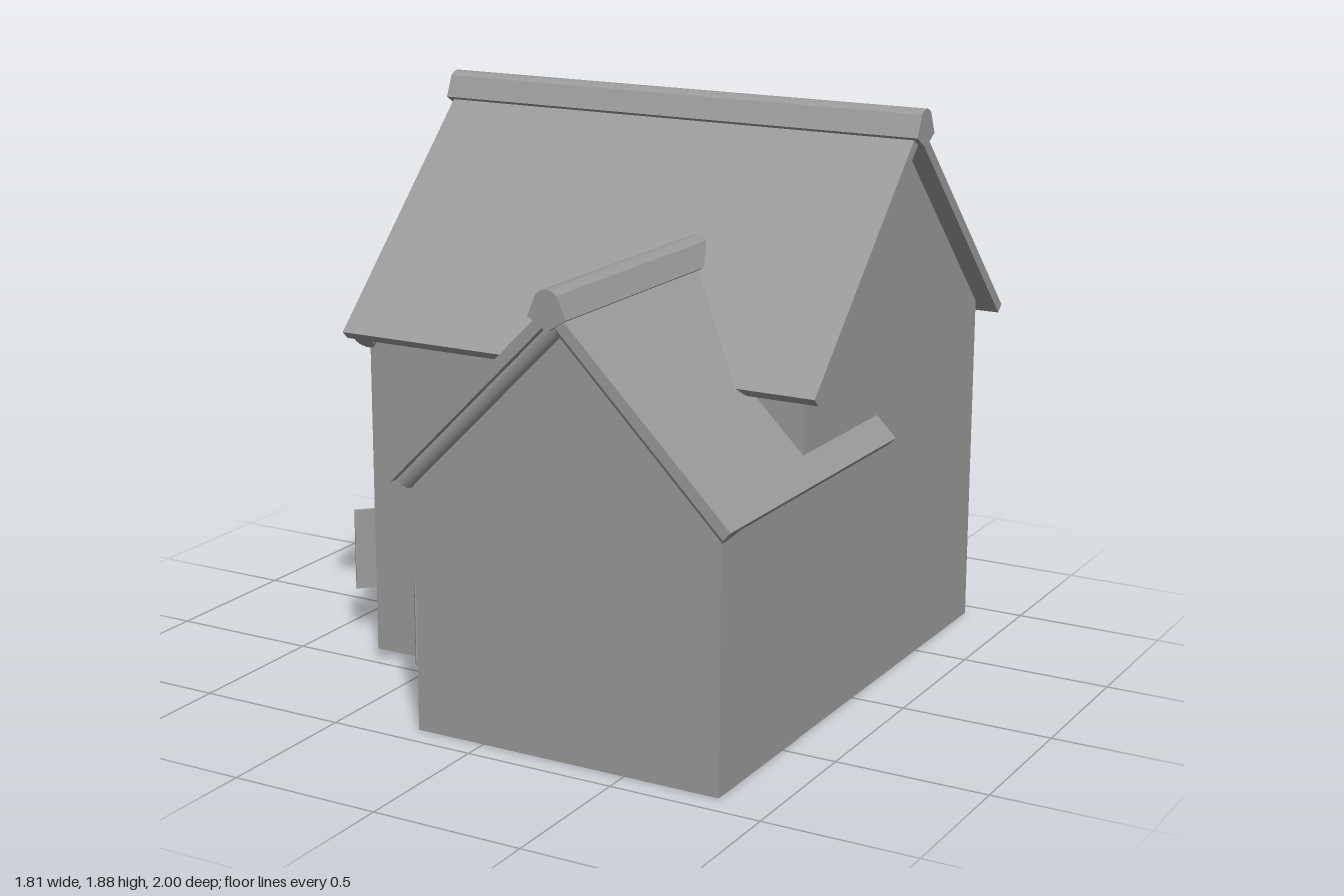
import * as THREE from 'three';
import { toCreasedNormals } from 'three/addons/utils/BufferGeometryUtils.js';

const mat = new THREE.MeshStandardMaterial({ color: 0x9a9a9a, side: THREE.DoubleSide });

function add(parent, name, geometry, x = 0, y = 0, z = 0) {
  const mesh = new THREE.Mesh(geometry, mat);
  mesh.name = name;
  mesh.position.set(x, y, z);
  parent.add(mesh);
  return mesh;
}

// Extrudes a profile in the xy plane from z0 to z1, smooth only across shallow corners
function prism(points, z0, z1) {
  const shape = new THREE.Shape(points.map(([x, y]) => new THREE.Vector2(x, y)));
  const g = new THREE.ExtrudeGeometry(shape, { depth: z1 - z0, bevelEnabled: false });
  return toCreasedNormals(g.translate(0, 0, z0), 0.5);
}

// One gabled block with its ridge along local z: open-bottomed walls, roof, ridge cap, gable beams
function gabledBlock(o) {
  const g = new THREE.Group();
  g.name = o.name;
  const { apex, run, half, wall, roof, cap } = o;
  const top = apex - half;

  // Gable end walls
  const gable = new THREE.Shape([[-half, 0], [half, 0], [half, top], [0, apex], [-half, top]]
    .map(([x, y]) => new THREE.Vector2(x, y)));
  for (const z of o.gables) add(g, 'gableWall', new THREE.ShapeGeometry(gable), 0, 0, z);

  // Side walls
  for (const s of [-1, 1]) {
    const side = add(g, 'sideWall', new THREE.PlaneGeometry(wall[1] - wall[0], top),
      s * half, top / 2, (wall[0] + wall[1]) / 2);
    side.rotation.y = s * Math.PI / 2;
  }

  // Roof slabs as one chevron
  const t = 0.025;
  add(g, 'roof', prism([[0, apex], [run, apex - run], [run + t, apex - run + t],
    [0, apex + 2 * t], [-run - t, apex - run + t], [-run, apex - run]], roof[0], roof[1]));

  // Ridge cap with a gently rounded top
  add(g, 'ridgeCap', prism([[0, apex - 0.03], [0.065, apex + 0.01], [0.035, apex + 0.08],
    [0.018, apex + 0.091], [0, apex + 0.095], [-0.018, apex + 0.091],
    [-0.035, apex + 0.08], [-0.065, apex + 0.01]], cap[0], cap[1]));

  // Round beams under the roof along one gable
  for (const s of [-1, 1]) {
    const beam = add(g, 'gableBeam', new THREE.CylinderGeometry(0.036, 0.036, run * Math.SQRT2, 10),
      s * (run / 2 - 0.006), apex - run / 2 - 0.006, o.beamZ);
    beam.rotation.z = s * Math.PI / 4;
  }
  return g;
}

// Upright leaf between two plan points [x, z]
function leaf(parent, name, a, b, y0, y1) {
  const dx = b[0] - a[0], dz = b[1] - a[1];
  const m = add(parent, name, new THREE.BoxGeometry(Math.hypot(dx, dz), y1 - y0, 0.01),
    (a[0] + b[0]) / 2, (y0 + y1) / 2, (a[1] + b[1]) / 2);
  m.rotation.y = -Math.atan2(dz, dx);
}

export function createModel() {
  const model = new THREE.Group();
  model.name = 'house';

  // Main block, ridge turned to run along x
  const main = gabledBlock({
    name: 'mainBlock', apex: 1.787, run: 0.702, half: 0.66,
    wall: [-0.765, 0.82], gables: [-0.765, 0.82], roof: [-0.827, 0.887], cap: [-0.845, 0.905], beamZ: -0.763,
  });
  main.rotation.y = Math.PI / 2;
  main.position.z = -0.27;
  model.add(main);

  // Front wing, its roof running back into the main block
  const wing = gabledBlock({
    name: 'frontWing', apex: 1.39, run: 0.57, half: 0.53,
    wall: [0.39, 0.918], gables: [0.918], roof: [-0.14, 0.985], cap: [-0.15, 1.0], beamZ: 0.918,
  });
  wing.position.x = 0.292;
  model.add(wing);

  // Window panels on the right side wall: [z0, z1, y0, y1]
  for (const [z0, z1, y0, y1] of [
    [-0.38, -0.11, 1.165, 1.42],
    [-0.79, -0.51, 0.68, 0.92],
    [-0.39, -0.11, 0.69, 0.93],
    [0.01, 0.285, 0.70, 0.94],
  ]) {
    add(model, 'windowPanel', new THREE.BoxGeometry(0.004, y1 - y0, z1 - z0), -0.768, (y0 + y1) / 2, (z0 + z1) / 2);
  }

  // Small upper shutters in opened pairs, the last one closed
  for (const z of [-0.685, -0.29]) {
    for (const s of [-1, 1]) {
      leaf(model, 'upperShutter', [-0.783, z + s * 0.123], [-0.842, z + s * 0.182], 0.75, 0.915);
    }
  }
  leaf(model, 'upperShutter', [-0.777, 0.01], [-0.777, 0.27], 0.75, 0.915);

  // Large ground floor shutters, opened outwards
  for (const s of [-1, 1]) {
    leaf(model, 'lowerShutter', [-0.772, -0.025 + s * 0.212], [-0.902, -0.025 + s * 0.342], 0.17, 0.45);
    leaf(model, 'wingShutter', [-0.246, 0.64 + s * 0.127], [-0.307, 0.64 + s * 0.188], 0.17, 0.45);
  }

  return model;
}
